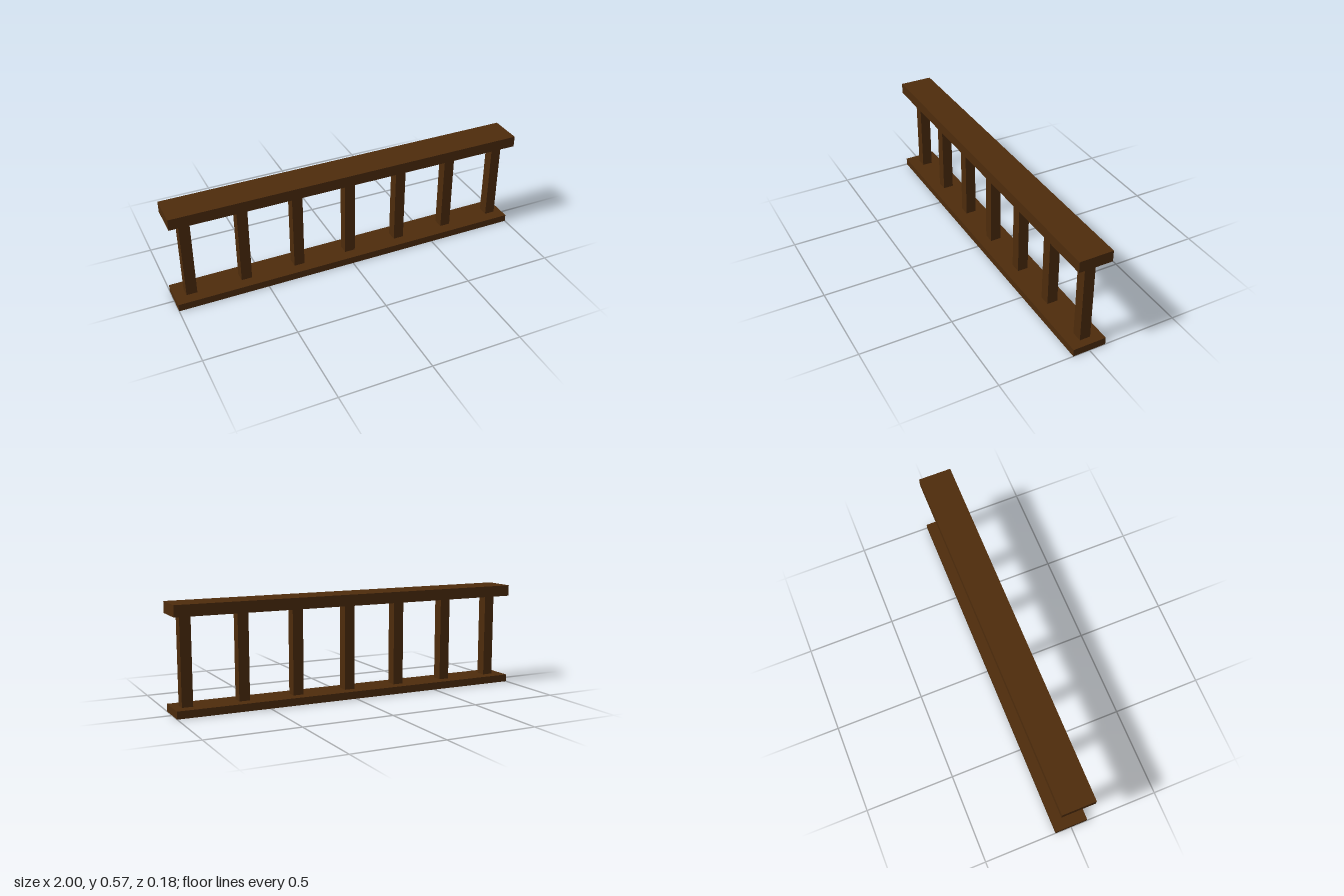
import * as THREE from 'three';

export function createModel() {
  const model = new THREE.Group();
  model.name = 'railing';
  const darkWood = new THREE.MeshStandardMaterial({ color: 0x4e2c0c });
  darkWood.name = 'darkWood';

  // Box beam standing on the height y0 and ending at y1
  function beam(name, width, y0, y1, depth, x = 0) {
    const mesh = new THREE.Mesh(new THREE.BoxGeometry(width, y1 - y0, depth), darkWood);
    mesh.name = name;
    mesh.position.set(x, (y0 + y1) / 2, 0);
    model.add(mesh);
  }

  const railDepth = 0.184, postSize = 0.059;
  const baseTop = 0.041, railBottom = 0.512, railTop = 0.573;

  // Horizontal rails
  beam('bottomRail', 2, 0, baseTop, railDepth);
  beam('handrail', 2, railBottom, railTop, railDepth);

  // Seven evenly spaced square balusters, slightly offset along the rail
  const count = 7, spacing = 0.306, offset = 0.009;
  for (let i = 0; i < count; i++) {
    const x = offset + (i - (count - 1) / 2) * spacing;
    beam('baluster' + (i + 1), postSize, baseTop, railBottom, postSize, x);
  }
  return model;
}
